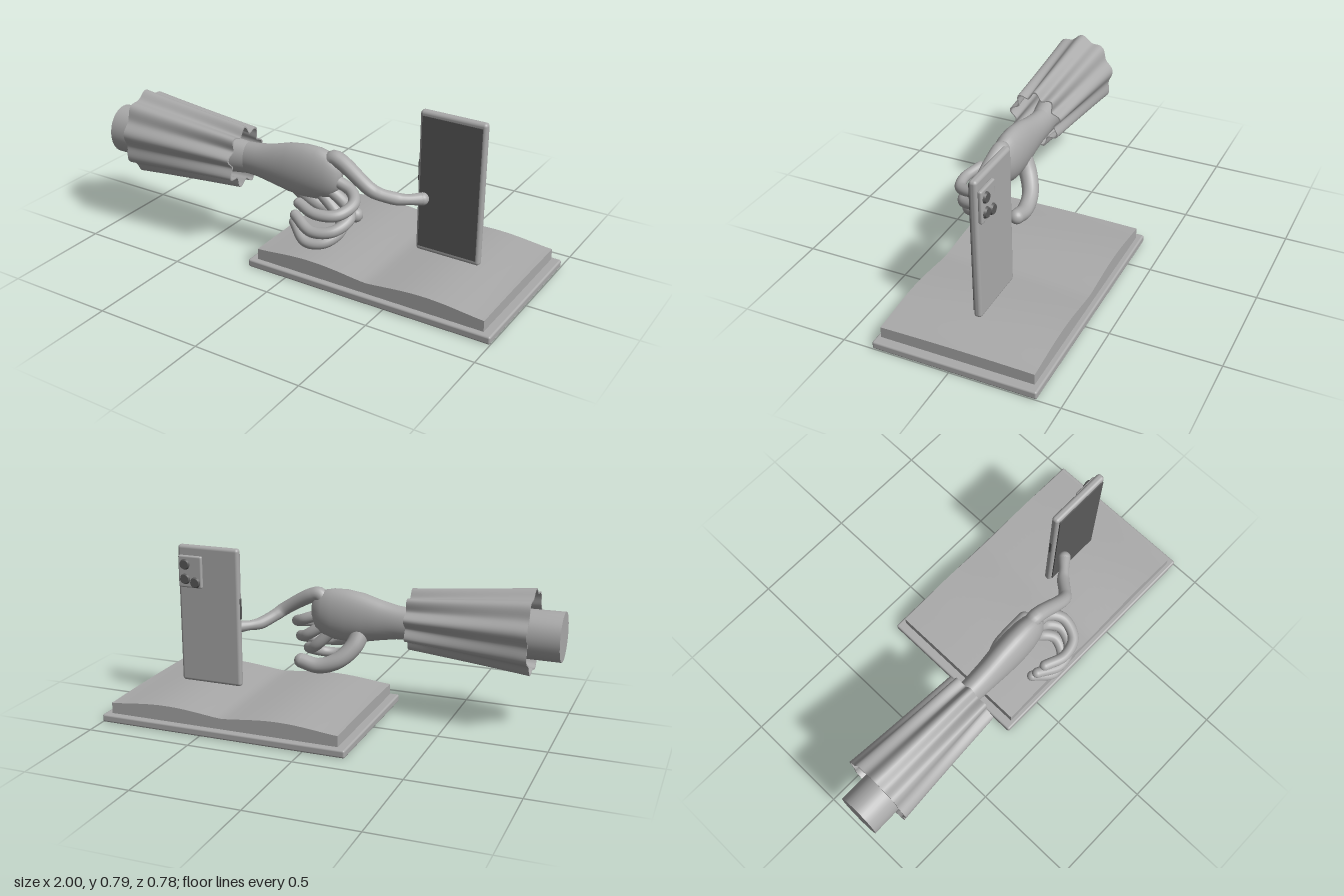
import * as THREE from 'three';
import { RoundedBoxGeometry } from 'three/addons/geometries/RoundedBoxGeometry.js';

const grey = new THREE.MeshStandardMaterial({ color: 0xaaaaaa });
grey.name = 'plain grey';
const dark = new THREE.MeshStandardMaterial({ color: 0x5a5a5a });
dark.name = 'dark glass';

function add(parent, name, geometry, material, x = 0, y = 0, z = 0) {
  const mesh = new THREE.Mesh(geometry, material);
  mesh.name = name;
  mesh.position.set(x, y, z);
  parent.add(mesh);
  return mesh;
}

// Skin over oval sections [x, centreY, centreZ, radiusY, radiusZ, ruffle] along x
function loft(sections, sides, lobes = 0) {
  const pos = [], index = [];
  sections.forEach(([x, cy, cz, ry, rz, ruffle = 0], i) => {
    for (let j = 0; j < sides; j++) {
      const a = (j / sides) * Math.PI * 2;
      const k = 1 + ruffle * Math.cos(lobes * (a - Math.PI / 2));
      pos.push(x, cy + ry * k * Math.sin(a), cz + rz * k * Math.cos(a));
      if (i === sections.length - 1) continue;
      const p = i * sides + j, q = i * sides + (j + 1) % sides;
      index.push(p, p + sides, q, q, p + sides, q + sides);
    }
  });
  const g = new THREE.BufferGeometry();
  g.setAttribute('position', new THREE.Float32BufferAttribute(pos, 3));
  g.setIndex(index);
  g.computeVertexNormals();
  return g;
}

// Rounded finger along a path, with radii spread evenly along its length
function finger(parent, name, points, radii) {
  const group = new THREE.Group();
  group.name = name;
  parent.add(group);
  const curve = new THREE.CatmullRomCurve3(points.map(p => new THREE.Vector3(...p)));
  const n = 48, sides = 20;
  const g = new THREE.TubeGeometry(curve, n, 1, sides);
  const pos = g.attributes.position, v = new THREE.Vector3();
  for (let i = 0; i <= n; i++) {
    const c = curve.getPointAt(i / n);
    const t = (i / n) * (radii.length - 1), k = Math.min(Math.floor(t), radii.length - 2);
    const r = THREE.MathUtils.lerp(radii[k], radii[k + 1], t - k);
    for (let j = 0; j <= sides; j++) {
      const m = i * (sides + 1) + j;
      v.fromBufferAttribute(pos, m).sub(c).multiplyScalar(r).add(c);
      pos.setXYZ(m, v.x, v.y, v.z);
    }
  }
  add(group, name + 'Bone', g, grey);
  [0, points.length - 1].forEach((i, e) => {
    const r = radii[e ? radii.length - 1 : 0];
    add(group, name + (e ? 'Tip' : 'Base'), new THREE.SphereGeometry(r, 20, 14), grey, ...points[i]);
  });
}

function buildBook(parent) {
  const book = new THREE.Group();
  book.name = 'openBook';
  parent.add(book);
  add(book, 'cover', new RoundedBoxGeometry(1.2, 0.037, 0.755, 3, 0.009), grey, 0.4, 0.0185, -0.016);

  // Page block: the top swells into two leaves either side of the fold
  const g = new THREE.BoxGeometry(1.12, 0.055, 0.707, 40, 1, 8);
  const pos = g.attributes.position;
  for (let i = 0; i < pos.count; i++) {
    if (pos.getY(i) < 0) continue;
    const u = pos.getX(i) / 1.12 + 0.5, w = pos.getZ(i) / 0.3535;
    const swell = Math.pow(Math.abs(Math.sin(u * Math.PI * 2)), 1.3);
    pos.setY(i, 0.0275 + 0.022 * swell - 0.004 * w * w);
  }
  g.computeVertexNormals();
  add(book, 'pages', g, grey, 0.4, 0.0675, -0.0145);
}

function buildPhone(parent) {
  const phone = new THREE.Group();
  phone.name = 'phone';
  parent.add(phone);
  add(phone, 'phoneBody', new RoundedBoxGeometry(0.31, 0.666, 0.037, 4, 0.015), grey, 0.615, 0.452, -0.0155);
  add(phone, 'screen', new THREE.BoxGeometry(0.28, 0.62, 0.006), dark, 0.615, 0.454, 0.005);
  add(phone, 'sideButton', new RoundedBoxGeometry(0.008, 0.1, 0.012, 2, 0.003), dark, 0.459, 0.5, -0.0155);
  add(phone, 'cameraPlate', new RoundedBoxGeometry(0.12, 0.153, 0.02, 3, 0.008), grey, 0.7, 0.663, -0.041);
  [[0.725, 0.698], [0.725, 0.628], [0.673, 0.614]].forEach(([x, y]) => {
    const lens = add(phone, 'lens', new THREE.CylinderGeometry(0.021, 0.026, 0.011, 28), dark, x, y, -0.0555);
    lens.rotation.x = -Math.PI / 2;
  });
}

function buildArm(parent) {
  const arm = new THREE.Group();
  arm.name = 'arm';
  parent.add(arm);

  // Forearm with a flat cut end, narrowing to the wrist
  add(arm, 'forearm', loft([
    [-1, 0.455, 0.235, 0, 0], [-1, 0.455, 0.235, 0.115, 0.101], [-1, 0.455, 0.235, 0.115, 0.101],
    [-0.7, 0.455, 0.23, 0.113, 0.1], [-0.45, 0.453, 0.205, 0.09, 0.07], [-0.3, 0.452, 0.19, 0.075, 0.054],
  ], 40), grey);

  // Ruffled sleeve: outer skin forward, rim, then inner skin back
  const outer = [];
  for (let i = 0; i <= 10; i++) {
    const t = i / 10;
    outer.push([-0.87 + 0.57 * t, 0.47, 0.22, 0.19 - 0.062 * t, 0.163 - 0.043 * t, 0.06 + 0.07 * t * t]);
  }
  const inner = outer.map(([x, cy, cz, ry, rz, f]) => [x, cy, cz, ry - 0.007, rz - 0.007, f]).reverse();
  const rim = s => [s, s];
  const sleeve = [...outer, ...rim(outer[10]), ...rim(inner[0]), ...inner, ...rim(inner[10]), outer[0]];
  add(arm, 'sleeve', loft(sleeve, 126, 9), grey);

  // Palm
  add(arm, 'palm', loft([
    [-0.31, 0.452, 0.19, 0.075, 0.054], [-0.24, 0.454, 0.19, 0.08, 0.056], [-0.16, 0.456, 0.19, 0.096, 0.06],
    [-0.08, 0.46, 0.188, 0.116, 0.066], [0, 0.463, 0.186, 0.125, 0.069], [0.07, 0.465, 0.184, 0.122, 0.066],
    [0.12, 0.468, 0.183, 0.108, 0.058], [0.155, 0.47, 0.182, 0.085, 0.045], [0.175, 0.47, 0.182, 0.05, 0.026],
    [0.18, 0.47, 0.182, 0, 0],
  ], 40), grey);

  // Pointing finger
  finger(arm, 'indexFinger', [
    [0.1, 0.49, 0.182], [0.14, 0.552, 0.178], [0.18, 0.545, 0.18], [0.33, 0.458, 0.19], [0.36, 0.435, 0.17],
    [0.42, 0.4, 0.108], [0.45, 0.395, 0.085], [0.505, 0.393, 0.038],
  ], [0.034, 0.036, 0.035, 0.034, 0.032, 0.031, 0.028, 0.029, 0.023, 0.029]);

  // Curled fingers
  const thin = [0.028, 0.027, 0.026, 0.025, 0.024];
  finger(arm, 'middleFinger', [[0.1, 0.47, 0.19], [0.23, 0.42, 0.18], [0.28, 0.393, 0.24],
    [0.25, 0.368, 0.33], [0.16, 0.365, 0.36], [0.06, 0.378, 0.33]], thin);
  finger(arm, 'ringFinger', [[0.1, 0.42, 0.19], [0.21, 0.345, 0.185], [0.262, 0.318, 0.245],
    [0.23, 0.285, 0.33], [0.14, 0.275, 0.36], [0.03, 0.305, 0.315]], thin);
  finger(arm, 'littleFinger', [[0.08, 0.38, 0.19], [0.17, 0.292, 0.19], [0.225, 0.26, 0.25],
    [0.19, 0.222, 0.33], [0.11, 0.215, 0.355], [0.015, 0.26, 0.3]], thin);

  // Thumb hooked behind the palm
  finger(arm, 'thumb', [[-0.07, 0.41, 0.18], [-0.045, 0.33, 0.135], [0.02, 0.265, 0.095],
    [0.11, 0.235, 0.08], [0.195, 0.25, 0.08]], [0.045, 0.042, 0.039, 0.037, 0.035]);
}

export function createModel() {
  const model = new THREE.Group();
  model.name = 'handTappingPhone';
  buildBook(model);
  buildPhone(model);
  buildArm(model);
  return model;
}
